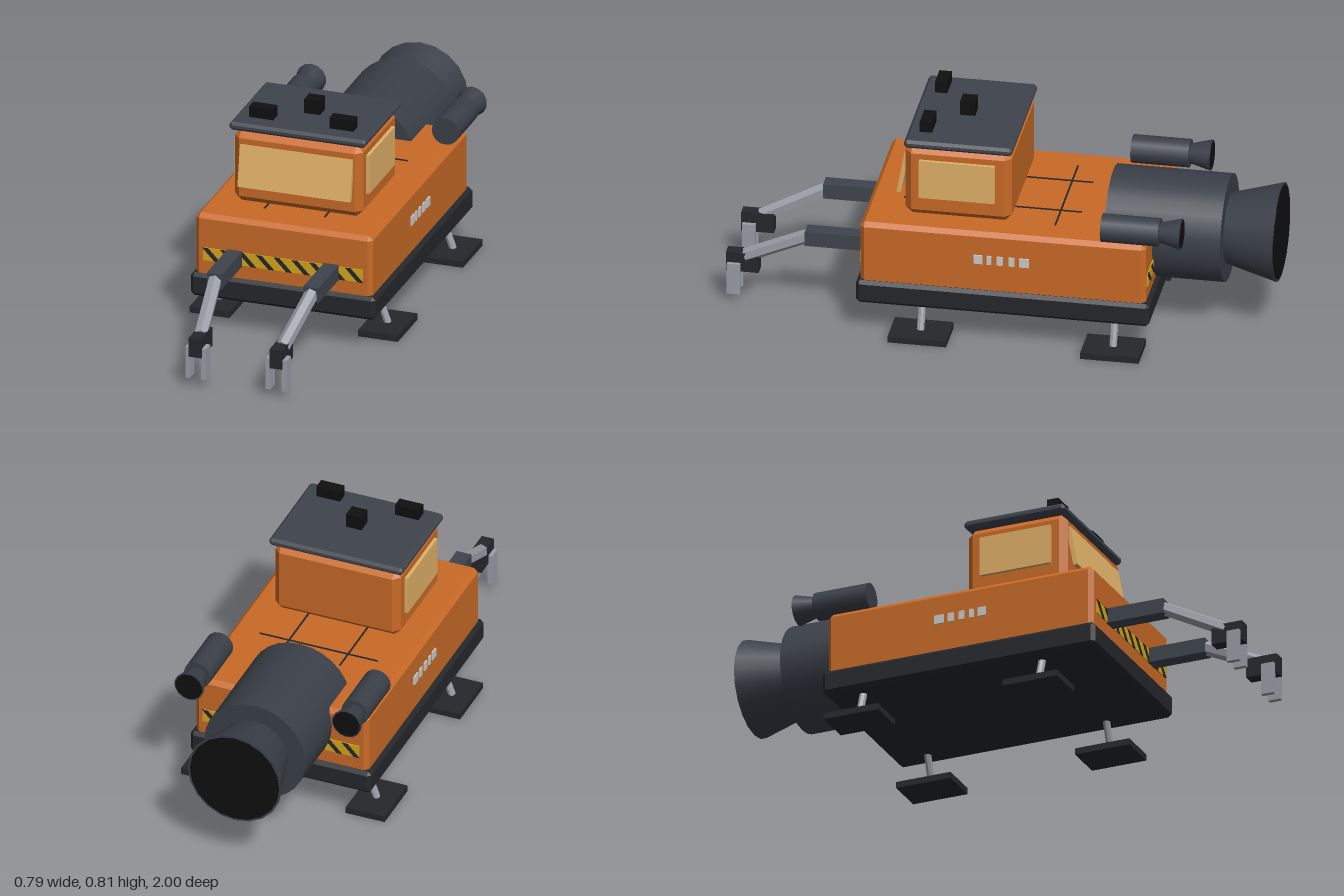
import * as THREE from 'three';
import { ConvexGeometry } from 'three/addons/geometries/ConvexGeometry.js';

const flat = (color) => new THREE.MeshStandardMaterial({ color, flatShading: true });
const smooth = (color) => new THREE.MeshStandardMaterial({ color });
const MAT = {
  orange: flat(0xc86a26),
  dark: flat(0x25272b),
  black: flat(0x101010),
  slate: flat(0x3f444d),
  engine: smooth(0x3a3f48),
  steel: flat(0x9a9ea6),
  yellow: flat(0xd4a81a),
  glass: flat(0xe0b068),
  grey: flat(0xcccccc),
};

export function createModel() {
  const model = new THREE.Group();
  model.name = 'utilityShuttle';

  const add = (name, geometry, material, x = 0, y = 0, z = 0) => {
    const mesh = new THREE.Mesh(geometry, material);
    mesh.name = name;
    mesh.position.set(x, y, z);
    model.add(mesh);
    return mesh;
  };

  // Box given by its extents: [x0, x1], [y0, y1], [z0, z1]
  const box = (name, material, [x0, x1], [y0, y1], [z0, z1]) =>
    add(name, new THREE.BoxGeometry(x1 - x0, y1 - y0, z1 - z0), material,
      (x0 + x1) / 2, (y0 + y1) / 2, (z0 + z1) / 2);

  // Box with every edge and corner chamfered by c
  const chamferBox = (name, material, [x0, x1], [y0, y1], [z0, z1], c) => {
    const w = (x1 - x0) / 2, h = (y1 - y0) / 2, d = (z1 - z0) / 2;
    const points = [];
    for (const i of [-1, 1]) for (const j of [-1, 1]) for (const k of [-1, 1]) {
      points.push(
        new THREE.Vector3(i * w, j * (h - c), k * (d - c)),
        new THREE.Vector3(i * (w - c), j * h, k * (d - c)),
        new THREE.Vector3(i * (w - c), j * (h - c), k * d));
    }
    return add(name, new ConvexGeometry(points), material,
      (x0 + x1) / 2, (y0 + y1) / 2, (z0 + z1) / 2);
  };

  // Straight rod between two points
  const rod = (name, material, from, to, radius, sides) => {
    const a = new THREE.Vector3(...from), b = new THREE.Vector3(...to);
    const dir = b.clone().sub(a);
    const mesh = add(name, new THREE.CylinderGeometry(radius, radius, dir.length(), sides), material);
    mesh.position.copy(a).add(b).multiplyScalar(0.5);
    mesh.quaternion.setFromUnitVectors(new THREE.Vector3(0, 1, 0), dir.normalize());
    return mesh;
  };

  // Drum or cone along z: front radius at z0, rear radius at z1
  const drum = (name, material, x, y, z0, z1, r0, r1, sides) => {
    const geometry = new THREE.CylinderGeometry(r0, r1, z0 - z1, sides);
    geometry.rotateX(Math.PI / 2);
    return add(name, geometry, material, x, y, (z0 + z1) / 2);
  };

  // Hull, skirt and cabin
  chamferBox('hull', MAT.orange, [-0.337, 0.337], [0.18, 0.445], [-0.562, 0.482], 0.016);
  chamferBox('skirt', MAT.dark, [-0.352, 0.352], [0.125, 0.215], [-0.577, 0.495], 0.013);
  chamferBox('cabin', MAT.orange, [-0.245, 0.245], [0.445, 0.722], [-0.055, 0.335], 0.025);
  chamferBox('roof', MAT.slate, [-0.26, 0.26], [0.722, 0.753], [-0.06, 0.335], 0.01);

  // Slanted windshield
  const windshield = add('windshield', new THREE.BoxGeometry(0.43, 0.158, 0.016), MAT.glass, 0, 0.597, 0.347);
  windshield.rotation.x = -0.18;

  // Roof lamps
  box('beacon', MAT.black, [-0.03, 0.03], [0.755, 0.81], [0.115, 0.17]);

  // Seam lines on the deck
  box('deckSeamCross', MAT.dark, [-0.23, 0.23], [0.444, 0.448], [-0.217, -0.211]);

  // Hazard strips on both ends
  for (const [name, z] of [['front', 0.483], ['rear', -0.563]]) {
    const face = Math.sign(z);
    box(name + 'HazardStrip', MAT.yellow, [-0.305, 0.305], [0.267, 0.317], [z - 0.003, z + 0.003]);
    const stripe = new THREE.Shape([[-0.035, 0.025], [-0.013, 0.025], [0.035, -0.025], [0.013, -0.025]]
      .map(([x, y]) => new THREE.Vector2(x, y)));
    const geometry = new THREE.ExtrudeGeometry(stripe, { depth: 0.004, bevelEnabled: false });
    for (let i = -4; i <= 4; i++) {
      const mesh = add(name + 'HazardStripe', geometry, MAT.dark, i * 0.068, 0.292, z + face * 0.001);
      if (face < 0) mesh.rotation.y = Math.PI;
    }
  }

  // Main engine with flared nozzle
  drum('mainEngine', MAT.engine, 0, 0.372, -0.385, -0.81, 0.197, 0.197, 28);
  drum('mainNozzle', MAT.engine, 0, 0.372, -0.8, -0.998, 0.127, 0.182, 20);
  drum('mainExhaust', MAT.black, 0, 0.372, -0.98, -1.0, 0.172, 0.174, 20);

  for (const s of [-1, 1]) {
    const side = s > 0 ? 'left' : 'right';
    // Interval on this side, mirrored when needed
    const mx = (a, b) => (s > 0 ? [a, b] : [-b, -a]);

    box(side + 'Window', MAT.glass, mx(0.238, 0.258), [0.525, 0.675], [0.003, 0.28]);
    box(side + 'RoofLamp', MAT.black, mx(0.107, 0.199), [0.763, 0.805], [0.242, 0.287]);
    box(side + 'DeckSeam', MAT.dark, mx(0.112, 0.118), [0.444, 0.448], [-0.29, 0.36]);

    // Row of small side panels
    for (const [z, w] of [[0.048, 0.032], [0.008, 0.016], [-0.031, 0.022], [-0.074, 0.022], [-0.12, 0.036]]) {
      box(side + 'SidePanel', MAT.grey, mx(0.336, 0.343), [0.322, 0.356], [z - w / 2, z + w / 2]);
    }

    // Auxiliary thruster
    drum(side + 'Thruster', MAT.engine, s * 0.307, 0.495, -0.4, -0.612, 0.052, 0.052, 16);
    drum(side + 'ThrusterNozzle', MAT.engine, s * 0.307, 0.495, -0.605, -0.69, 0.034, 0.057, 14);
    drum(side + 'ThrusterExhaust', MAT.black, s * 0.307, 0.495, -0.685, -0.692, 0.051, 0.052, 14);

    // Splayed landing legs
    for (const z of [0.262, -0.442]) {
      rod(side + 'LegStrut', MAT.steel, [s * 0.272, 0.16, z], [s * 0.322, 0.022, z], 0.014, 8);
      box(side + 'FootPad', MAT.dark, mx(0.245, 0.397), [0, 0.024], [z - 0.107, z + 0.107]);
    }

    // Manipulator arm with a two-finger gripper
    box(side + 'UpperArm', MAT.slate, mx(0.155, 0.213), [0.265, 0.322], [0.46, 0.705]);
    rod(side + 'Forearm', MAT.steel, [s * 0.184, 0.294, 0.695], [s * 0.156, 0.178, 0.93], 0.026, 6);
    box(side + 'Wrist', MAT.dark, mx(0.13, 0.178), [0.119, 0.193], [0.88, 1.0]);
    for (const x of [0.123, 0.184]) {
      box(side + 'GripperFinger', MAT.steel, mx(x - 0.009, x + 0.009), [0.033, 0.154], [0.946, 0.994]);
    }
  }

  return model;
}
